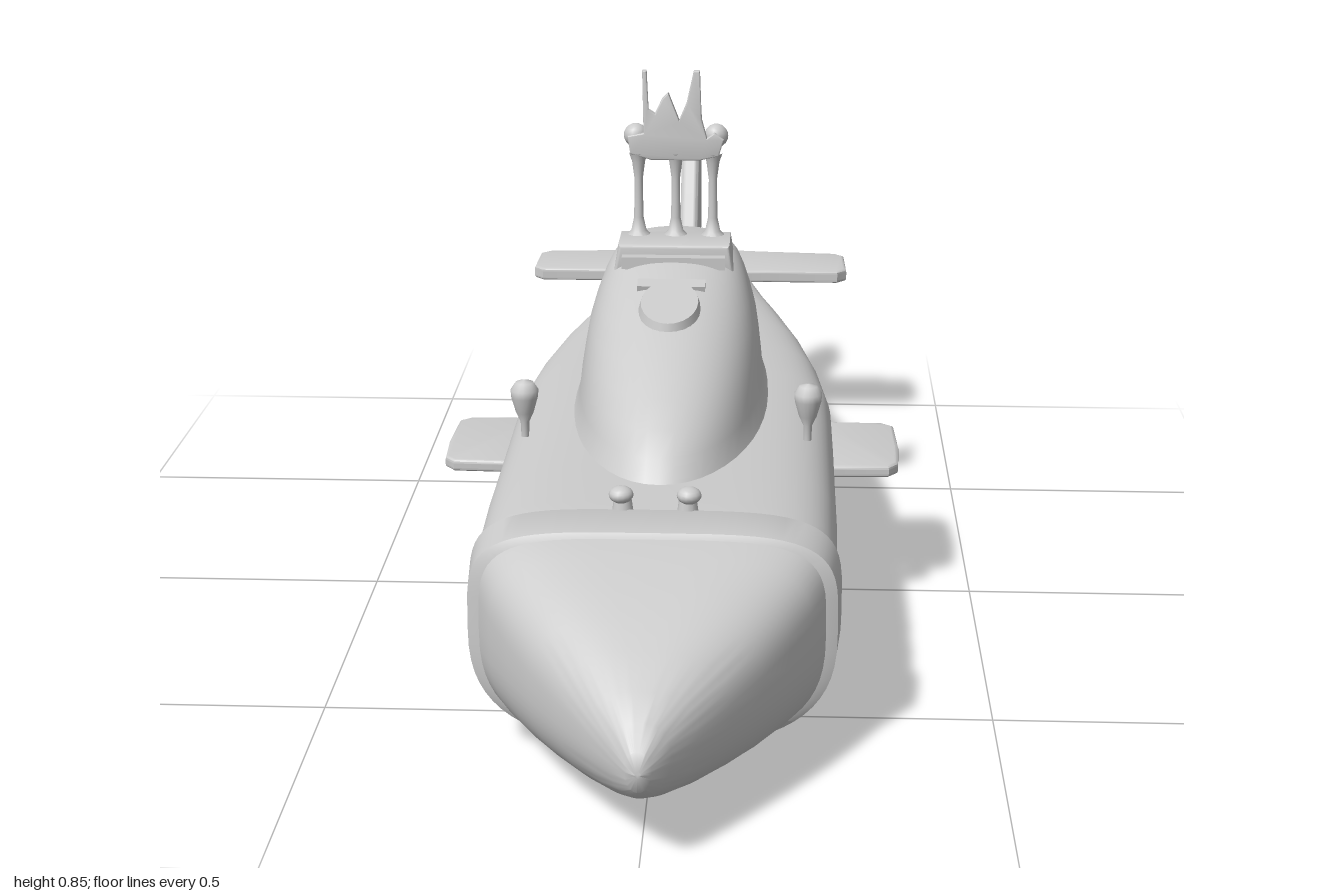
import * as THREE from 'three';
import { toCreasedNormals } from 'three/addons/utils/BufferGeometryUtils.js';

const material = new THREE.MeshStandardMaterial({ color: 0xcccccc });

function add(parent, name, geometry, x = 0, y = 0, z = 0) {
  const mesh = new THREE.Mesh(geometry, material);
  mesh.name = name;
  mesh.position.set(x, y, z);
  parent.add(mesh);
  return mesh;
}

// Skin a list of closed rings (arrays of [x, y, z]) and cap both ends.
function loft(rings, crease = 0.6) {
  const n = rings[0].length, pos = [], index = [];
  rings.forEach(r => r.forEach(p => pos.push(...p)));
  for (let i = 0; i < rings.length - 1; i++) {
    for (let j = 0; j < n; j++) {
      const k = (j + 1) % n, a = i * n + j, b = i * n + k;
      index.push(a, a + n, b, b, a + n, b + n);
    }
  }
  for (const end of [0, rings.length - 1]) {
    const centre = pos.length / 3;
    pos.push(...[0, 1, 2].map(c => rings[end].reduce((s, p) => s + p[c], 0) / n));
    for (let j = 0; j < n; j++) {
      const a = end * n + j, b = end * n + (j + 1) % n;
      if (end) index.push(centre, b, a); else index.push(centre, a, b);
    }
  }
  const g = new THREE.BufferGeometry();
  g.setAttribute('position', new THREE.Float32BufferAttribute(pos, 3));
  g.setIndex(index);
  return toCreasedNormals(g, crease);
}

const power = (v, e) => Math.sign(v) * Math.pow(Math.abs(v), 2 / e);

// Hull ring: half width w, bottom b, top t; squarer above than below.
function hullRing([z, w, b, t, eTop = 4.2, eLow = 2.7]) {
  const mid = b + (t - b) * 0.56;
  return Array.from({ length: 64 }, (_, j) => {
    const a = j / 64 * Math.PI * 2, s = Math.sin(a), e = s > 0 ? eTop : eLow;
    return [w * power(Math.cos(a), e), mid + (s > 0 ? t - mid : mid - b) * power(s, e), z];
  });
}

// Sail ring: horizontal outline at height y, from z = front to z = back.
function sailRing([y, front, back, w]) {
  const mid = back + (front - back) * 0.5;
  return Array.from({ length: 48 }, (_, j) => {
    const a = j / 48 * Math.PI * 2, s = Math.sin(a), e = s > 0 ? 2.05 : 2.3;
    return [w * power(Math.cos(a), e), y, mid + (s > 0 ? front - mid : mid - back) * power(s, e)];
  });
}

// Flat plate with softened edges, centred on its own thickness.
function plate(points, thickness, bevel = 0.006) {
  const shape = new THREE.Shape(points.map(p => new THREE.Vector2(...p)));
  const depth = thickness - 2 * bevel;
  const g = new THREE.ExtrudeGeometry(shape, {
    depth, bevelThickness: bevel, bevelSize: bevel, bevelOffset: -bevel, bevelSegments: 3,
  });
  g.translate(0, 0, -depth / 2);
  return toCreasedNormals(g, 0.7);
}

export function createModel() {
  const model = new THREE.Group();
  model.name = 'submarine';

  // Hull with pointed bow and flat stern
  add(model, 'hull', loft([
    [1, 0.004, 0.145, 0.155, 2, 2], [0.99, 0.018, 0.12, 0.178, 2.1, 2], [0.96, 0.042, 0.097, 0.205, 2.3, 2.1],
    [0.92, 0.074, 0.078, 0.23, 2.5, 2.2], [0.86, 0.118, 0.057, 0.26, 2.7, 2.3], [0.8, 0.16, 0.043, 0.285, 3, 2.4],
    [0.74, 0.196, 0.031, 0.306, 3.3, 2.5], [0.68, 0.228, 0.023, 0.322, 3.7, 2.6], [0.635, 0.248, 0.018, 0.333],
    [0.6, 0.258, 0.014, 0.338], [0.5, 0.265, 0.009, 0.34], [0.35, 0.268, 0.004, 0.34], [0.2, 0.268, 0.002, 0.34],
    [0, 0.268, 0.009, 0.34], [-0.15, 0.267, 0.022, 0.34], [-0.3, 0.25, 0.042, 0.34], [-0.45, 0.222, 0.07, 0.34],
    [-0.6, 0.183, 0.106, 0.34], [-0.7, 0.153, 0.134, 0.34], [-0.8, 0.126, 0.165, 0.34, 4.5, 3],
    [-0.9, 0.11, 0.195, 0.34, 5, 3.5], [-0.975, 0.1, 0.215, 0.338, 5, 4], [-1, 0.09, 0.224, 0.328, 5, 4],
  ].map(hullRing)));

  // Raised seam behind the bow
  add(model, 'bowSeam', loft([
    [0.64, 0.24, 0.022, 0.325], [0.63, 0.264, 0.014, 0.341], [0.545, 0.271, 0.009, 0.344], [0.53, 0.262, 0.012, 0.336],
  ].map(hullRing)));

  // Sail with long sloping front
  add(model, 'sail', loft([
    [0.325, 0.445, -0.49, 0.165], [0.34, 0.43, -0.48, 0.156], [0.37, 0.4, -0.455, 0.149], [0.4, 0.36, -0.43, 0.146],
    [0.43, 0.3, -0.408, 0.142], [0.46, 0.235, -0.385, 0.137], [0.49, 0.155, -0.362, 0.128], [0.515, 0.08, -0.342, 0.118],
    [0.535, 0.01, -0.325, 0.107], [0.55, -0.045, -0.305, 0.094], [0.558, -0.08, -0.28, 0.08],
  ].map(sailRing), 0.8));

  // Mast platform on the sail
  const platform = plate([[-0.1, 0.525], [0.1, 0.525], [0.092, 0.576], [-0.092, 0.576]], 0.1);
  add(model, 'mastPlatform', platform, 0, 0, -0.125);
  add(model, 'platformStep', new THREE.BoxGeometry(0.17, 0.02, 0.03), 0, 0.55, -0.07);

  // Sloping hatch ahead of the platform
  const hatch = new THREE.Group();
  hatch.name = 'hatch';
  hatch.position.set(0, 0.513, 0.075);
  hatch.rotation.x = 0.25;
  model.add(hatch);
  add(hatch, 'hatchLid', new THREE.CylinderGeometry(0.046, 0.052, 0.02, 24)).scale.z = 1.5;
  add(hatch, 'hatchHinge', new THREE.BoxGeometry(0.11, 0.016, 0.025), 0, 0, -0.065);

  // Three masts with flared ends
  const mastProfile = [[0.026, 0], [0.013, 0.012], [0.008, 0.035], [0.007, 0.1], [0.011, 0.13], [0.016, 0.145]]
    .map(p => new THREE.Vector2(...p));
  for (const x of [-0.062, 0, 0.062]) {
    add(model, 'mast', new THREE.LatheGeometry(mastProfile, 14), x, 0.57, -0.155);
  }

  // Jagged antenna head
  add(model, 'antennaHead', plate([
    [-0.075, 0.715], [-0.04, 0.705], [0.04, 0.705], [0.072, 0.712], [0.08, 0.74], [0.065, 0.752], [0.052, 0.742],
    [0.043, 0.775], [0.04, 0.855], [0.03, 0.855], [0.018, 0.8], [0.006, 0.772], [-0.012, 0.818], [-0.022, 0.808],
    [-0.034, 0.783], [-0.045, 0.79], [-0.048, 0.855], [-0.055, 0.855], [-0.053, 0.75], [-0.08, 0.745],
  ], 0.014, 0.002), 0, 0, -0.147);
  add(model, 'antennaBar', new THREE.CapsuleGeometry(0.014, 0.12, 6, 12).rotateZ(Math.PI / 2), 0, 0.718, -0.158);

  // Upright tail rudder
  add(model, 'rudder', plate([
    [-0.68, 0.325], [-0.7, 0.355], [-0.835, 0.585], [-0.86, 0.617], [-0.89, 0.625], [-0.985, 0.62],
    [-0.997, 0.605], [-0.965, 0.325],
  ], 0.034, 0.01).rotateY(-Math.PI / 2));

  // Parts mirrored on both sides
  for (const side of [1, -1]) {
    const half = new THREE.Group();
    half.name = side > 0 ? 'leftSide' : 'rightSide';
    half.scale.x = side;
    model.add(half);

    add(half, 'divingPlane', plate([
      [0.24, -0.185], [0.355, -0.182], [0.374, -0.165], [0.378, -0.06], [0.374, 0.025], [0.358, 0.045], [0.24, 0.05],
    ], 0.02).rotateX(Math.PI / 2), 0, 0.228, 0);

    add(half, 'tailPlane', plate([
      [0.06, -0.965], [0.14, -0.955], [0.285, -0.943], [0.303, -0.925], [0.306, -0.82], [0.288, -0.8],
      [0.15, -0.8], [0.06, -0.79],
    ], 0.024).rotateX(Math.PI / 2), 0, 0.327, 0);

    // Lower stern fin, splayed outward
    const lowerFin = add(half, 'lowerFin', plate([
      [-0.75, 0.03], [-0.775, -0.03], [-0.855, -0.138], [-0.875, -0.15], [-0.94, -0.152], [-0.952, -0.135],
      [-0.915, -0.03], [-0.91, 0.03],
    ], 0.024).rotateY(-Math.PI / 2), 0.07, 0.2, 0);
    lowerFin.rotation.z = 0.55;

    // Teardrop deck lamp on a thin stem
    add(half, 'deckLamp', new THREE.LatheGeometry([
      [0.006, -0.085], [0.007, -0.06], [0.014, -0.045], [0.021, -0.02], [0.022, -0.008], [0.014, 0.004], [0, 0.008],
    ].map(p => new THREE.Vector2(...p)), 18), 0.222, 0.42, 0.2);

    // Small cleat on the foredeck
    add(half, 'cleatBase', new THREE.CylinderGeometry(0.011, 0.016, 0.034, 12), 0.047, 0.352, 0.535);
    add(half, 'cleatHead', new THREE.SphereGeometry(0.018, 14, 10), 0.049, 0.365, 0.54).scale.y = 0.7;

    // Knob at the end of the antenna bar
    add(half, 'antennaKnob', new THREE.SphereGeometry(0.02, 14, 10), 0.067, 0.743, -0.162);
  }

  return model;
}
